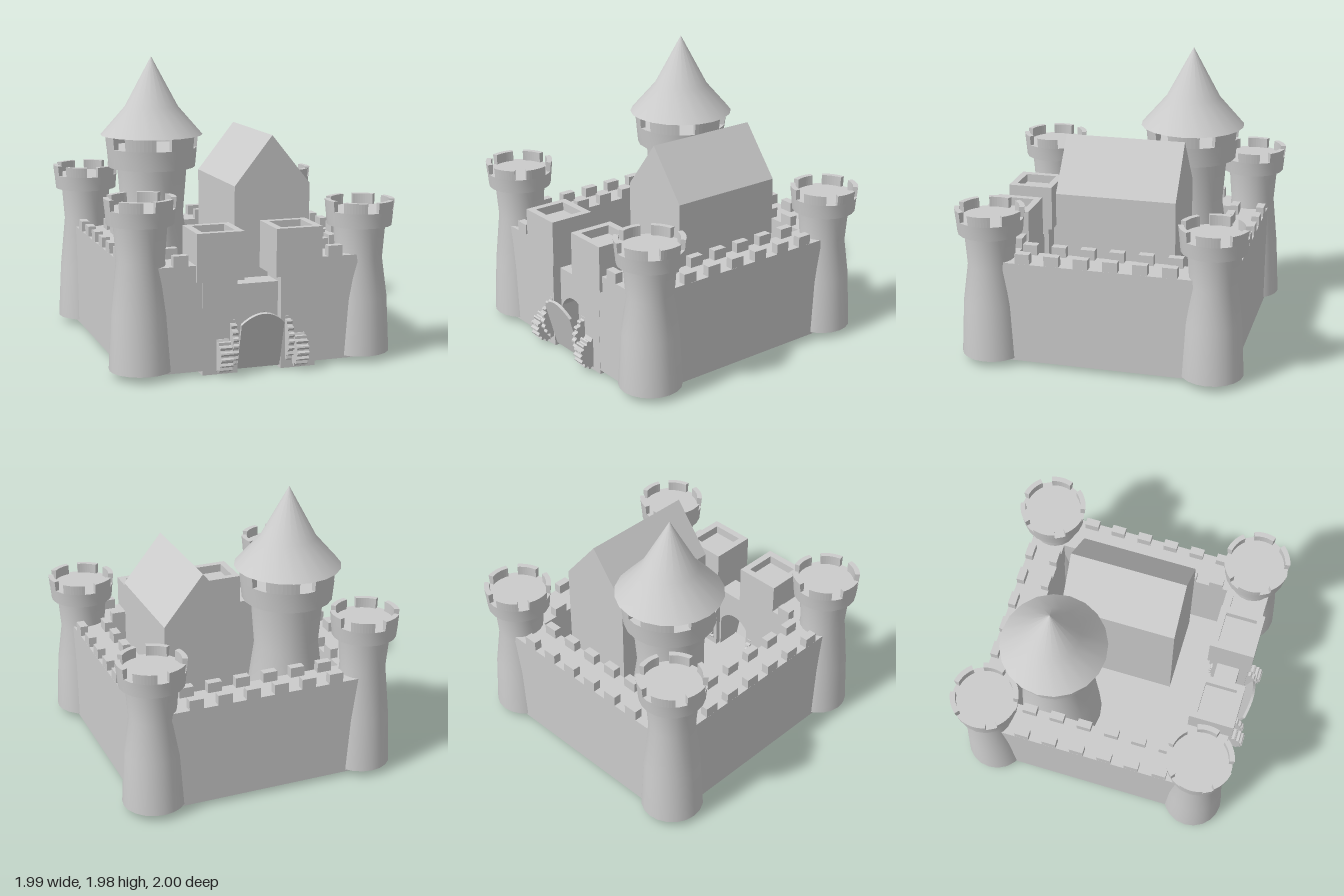
import * as THREE from 'three';
import { toCreasedNormals } from 'three/addons/utils/BufferGeometryUtils.js';

export function createModel() {
  const castle = new THREE.Group();
  castle.name = 'castle';
  const stone = new THREE.MeshStandardMaterial({ color: 0xcccccc });

  const add = (name, geometry, parent = castle) => {
    const mesh = new THREE.Mesh(geometry, stone);
    mesh.name = name;
    parent.add(mesh);
    return mesh;
  };
  const group = (name) => {
    const g = new THREE.Group();
    g.name = name;
    castle.add(g);
    return g;
  };
  // Box given by its limits on each axis
  const box = (name, x0, x1, y0, y1, z0, z1, parent) => {
    const g = new THREE.BoxGeometry(x1 - x0, y1 - y0, z1 - z0);
    g.translate((x0 + x1) / 2, (y0 + y1) / 2, (z0 + z1) / 2);
    return add(name, g, parent);
  };
  const lathe = (points) => toCreasedNormals(
    new THREE.LatheGeometry(points.map(([r, y]) => new THREE.Vector2(r, y)), 20), 0.6);
  const extrude = (shape, depth, curveSegments = 12) =>
    new THREE.ExtrudeGeometry(shape, { depth, bevelEnabled: false, curveSegments });

  // Flared rim with six merlons, separated by narrow notches
  function crown(parent, r0, r1, inner, y0, yFloor, y1) {
    const mid = r0 + (r1 - r0) * (yFloor - y0) / (y1 - y0);
    add('crownRim', lathe([[0, y0], [r0, y0], [mid, yFloor], [0, yFloor]]), parent);
    for (let i = 0; i < 6; i++) {
      const a = i * Math.PI / 3, half = Math.PI / 9;
      const s = new THREE.Shape();
      s.absarc(0, 0, r1, a - half, a + half, false);
      s.absarc(0, 0, inner, a + half, a - half, true);
      const g = extrude(s, y1 - yFloor, 4);
      g.rotateX(-Math.PI / 2).translate(0, yFloor, 0);
      // The outer face continues the flare of the rim
      const p = g.attributes.position;
      for (let k = 0; k < p.count; k++) {
        if (Math.hypot(p.getX(k), p.getZ(k)) > (inner + r1) / 2 && p.getY(k) < yFloor + 0.001) {
          p.setX(k, p.getX(k) * mid / r1);
          p.setZ(k, p.getZ(k) * mid / r1);
        }
      }
      g.computeVertexNormals();
      add('crownMerlon', g, parent);
    }
  }

  // Corner towers: the pair on the right is taller
  for (const x of [-0.76, 0.76]) {
    for (const z of [-0.77, 0.75]) {
      const t = group('cornerTower');
      const top = x < 0 ? 1.17 : 1.08;
      add('towerBody', lathe([[0, 0.045], [0.212, 0.045], [0.192, 0.42], [0.157, top - 0.4],
        [0.176, top - 0.16], [0, top - 0.16]]), t);
      crown(t, 0.218, 0.234, 0.198, top - 0.17, top - 0.07, top);
      t.position.set(x, 0, z);
    }
  }

  // Round keep with pointed roof
  const keep = group('keep');
  add('keepBody', lathe([[0, 0.045], [0.3, 0.045], [0.27, 0.5], [0.222, 0.85], [0.25, 1.2], [0, 1.2]]), keep);
  crown(keep, 0.31, 0.332, 0.285, 1.19, 1.33, 1.42);
  add('keepRoof', lathe([[0, 1.42], [0.365, 1.42], [0.19, 1.62], [0, 1.975]]), keep);
  keep.position.set(-0.36, 0, -0.39);

  // Gabled hall
  const gable = new THREE.Shape([[0.015, 0.04], [0.56, 0.04], [0.56, 1.135], [0.285, 1.475], [0.015, 1.135]]
    .map(([x, y]) => new THREE.Vector2(x, y)));
  add('hall', extrude(gable, 0.82).translate(0, 0, -0.47));

  // Courtyard floor and curtain walls
  box('courtyardFloor', -0.64, 0.64, 0.03, 0.06, -0.58, 0.84);
  box('backWall', -0.76, 0.76, 0.03, 0.73, -0.9, -0.66);
  const merlonAt = [-0.5, -0.3, -0.1, 0.1, 0.3, 0.5];
  for (const c of merlonAt) {
    for (const z of [-0.9, -0.715]) box('wallMerlon', c - 0.05, c + 0.05, 0.73, 0.8, z, z + 0.055);
  }
  for (const s of [-1, 1]) {
    const a = s * 0.63, b = s * 0.865;
    box('sideWall', Math.min(a, b), Math.max(a, b), 0.03, 0.73, -0.77, 0.75);
    for (const c of merlonAt) {
      for (const m of [0.655, 0.837]) {
        box('wallMerlon', s * m - 0.0275, s * m + 0.0275, 0.73, 0.8, c - 0.05, c + 0.05);
      }
    }
    const f = [s * 0.28, s * 0.76].sort((p, q) => p - q);
    box('frontWall', f[0], f[1], 0.03, 0.73, 0.59, 0.889);
    for (const z of [0.59, 0.834]) box('wallMerlon', s * 0.53 - 0.05, s * 0.53 + 0.05, 0.73, 0.8, z, z + 0.055);
  }

  // Gate towers with a hollow square head
  for (const s of [-1, 1]) {
    const t = group('gateTower');
    box('gateTowerShaft', -0.12, 0.12, 0, 0.63, 0.63, 0.89, t);
    box('gateTowerHead', -0.16, 0.16, 0.62, 0.88, 0.59, 0.91, t);
    const frame = new THREE.Shape([[-0.16, -0.16], [0.16, -0.16], [0.16, 0.16], [-0.16, 0.16]]
      .map(([x, y]) => new THREE.Vector2(x, y)));
    frame.holes.push(new THREE.Path([[-0.112, -0.112], [-0.112, 0.112], [0.112, 0.112], [0.112, -0.112]]
      .map(([x, y]) => new THREE.Vector2(x, y))));
    add('gateTowerParapet', extrude(frame, 0.06).rotateX(-Math.PI / 2).translate(0, 0.88, 0.75), t);
    t.position.x = s * 0.27;
  }

  // Arched gateway between the gate towers
  const arch = (w, y0, ySide, yTop) => (path) => {
    path.moveTo(-w, y0);
    path.lineTo(w, y0);
    path.lineTo(w, ySide);
    path.quadraticCurveTo(w * 0.5, yTop, 0, yTop);
    path.quadraticCurveTo(-w * 0.5, yTop, -w, ySide);
    path.lineTo(-w, y0);
    return path;
  };
  const wall = new THREE.Shape();
  wall.moveTo(-0.15, 0.03).lineTo(-0.135, 0.03).lineTo(-0.135, 0.3);
  wall.quadraticCurveTo(-0.08, 0.39, 0, 0.39);
  wall.quadraticCurveTo(0.08, 0.39, 0.135, 0.3);
  wall.lineTo(0.135, 0.03).lineTo(0.15, 0.03).lineTo(0.15, 0.575).lineTo(-0.15, 0.575);
  add('gateWall', extrude(wall, 0.165).translate(0, 0, 0.665));

  // Drawbridge leaning slightly outward
  const bridge = add('drawbridge', extrude(arch(0.147, 0, 0.325, 0.4)(new THREE.Shape()), 0.02, 6));
  bridge.position.set(0, 0.025, 0.855);
  bridge.rotation.x = 0.28;

  // Toothed winding wheels half sunk in the gate towers
  function gear(name, radius, teeth, x0, x1, y, z) {
    const pts = [];
    for (let i = 0; i < teeth * 4; i++) {
      const a = (i / (teeth * 4)) * Math.PI * 2;
      const r = i % 4 < 2 ? radius : radius - 0.016;
      pts.push(new THREE.Vector2(Math.cos(a) * r, Math.sin(a) * r));
    }
    const g = extrude(new THREE.Shape(pts), x1 - x0);
    g.rotateY(Math.PI / 2).translate(x0, y, z);
    add(name, g);
  }
  gear('smallWheel', 0.112, 16, -0.293, -0.21, 0.122, 0.885);
  gear('smallWheel', 0.112, 16, 0.23, 0.313, 0.122, 0.885);
  gear('largeWheel', 0.186, 24, -0.203, -0.165, 0.2, 0.788);
  gear('largeWheel', 0.186, 24, 0.18, 0.218, 0.2, 0.788);

  return castle;
}
